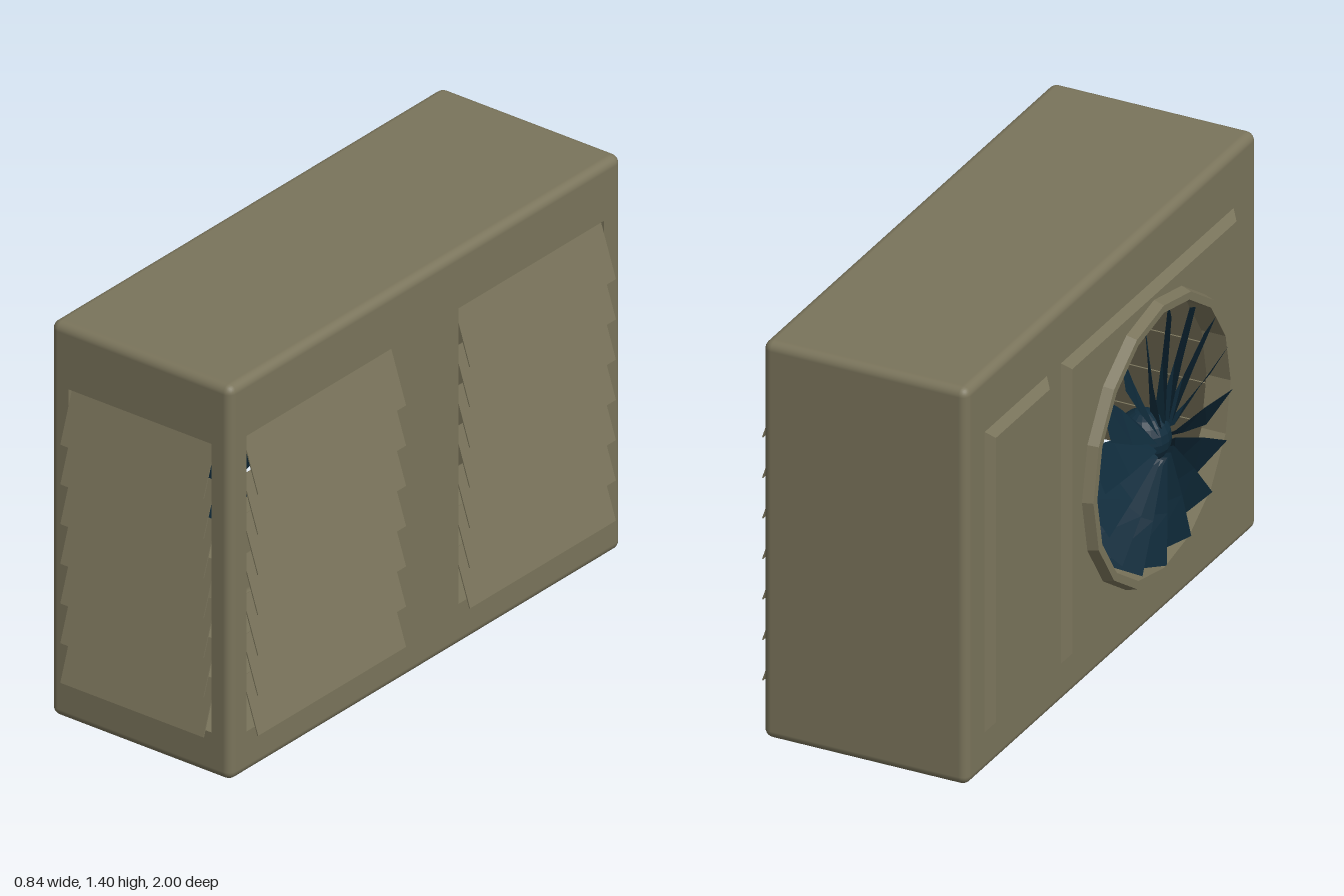
import * as THREE from 'three';
import { RoundedBoxGeometry } from 'three/addons/geometries/RoundedBoxGeometry.js';

const casingMat = new THREE.MeshStandardMaterial({ color: 0x7a745b, side: THREE.DoubleSide });
casingMat.name = 'olive casing';
const fanMat = new THREE.MeshStandardMaterial({ color: 0x102c3c, side: THREE.DoubleSide, flatShading: true });
fanMat.name = 'dark blue fan';

// Casing extents
const X0 = -0.345, X1 = 0.375, Y0 = 0, Y1 = 1.4, Z0 = -1, Z1 = 0.96, R = 0.03;
const FAN = { y: 0.67, z: 0.215, r: 0.45, sides: 16 };

function rect(path, u0, u1, v0, v1) {
  path.moveTo(u0, v0); path.lineTo(u1, v0); path.lineTo(u1, v1); path.lineTo(u0, v1); path.closePath();
  return path;
}
const rectHole = (...a) => rect(new THREE.Path(), ...a);
function roundHole() {
  const pts = [];
  for (let i = 0; i < FAN.sides; i++) {
    const a = (i / FAN.sides) * Math.PI * 2;
    pts.push(new THREE.Vector2(FAN.z + FAN.r * Math.cos(a), FAN.y + FAN.r * Math.sin(a)));
  }
  return new THREE.Path(pts);
}
function add(group, name, geometry, material = casingMat) {
  const mesh = new THREE.Mesh(geometry, material);
  mesh.name = name;
  group.add(mesh);
  return mesh;
}
function wall(u0, u1, v0, v1, holes) {
  const shape = rect(new THREE.Shape(), u0, u1, v0, v1);
  shape.holes.push(...holes);
  return new THREE.ShapeGeometry(shape);
}

// Rounded shell with three flat sides left out, to be filled by pierced walls
function shellGeometry() {
  const g = new RoundedBoxGeometry(X1 - X0, Y1 - Y0, Z1 - Z0, 3, R);
  g.translate((X0 + X1) / 2, (Y0 + Y1) / 2, (Z0 + Z1) / 2);
  const p = g.attributes.position, n = g.attributes.normal, pos = [], nor = [];
  const flat = (i, get, value) => [0, 1, 2].every(k => Math.abs(p[get](i + k) - value) < 1e-4);
  for (let i = 0; i < p.count; i += 3) {
    if (flat(i, 'getX', X0) || flat(i, 'getX', X1) || flat(i, 'getZ', Z1)) continue;
    for (let k = i; k < i + 3; k++) {
      pos.push(p.getX(k), p.getY(k), p.getZ(k));
      nor.push(n.getX(k), n.getY(k), n.getZ(k));
    }
  }
  const out = new THREE.BufferGeometry();
  out.setAttribute('position', new THREE.Float32BufferAttribute(pos, 3));
  out.setAttribute('normal', new THREE.Float32BufferAttribute(nor, 3));
  return out;
}

// Bank of seven slanted slats; local +z points out of the wall
function louvers(name, u0, u1, bottom, step, height, out) {
  const bank = new THREE.Group();
  bank.name = name;
  const run = 0.062;
  for (let i = 0; i < 7; i++) {
    const slat = add(bank, 'louverSlat', new THREE.BoxGeometry(u1 - u0, Math.hypot(height, run), 0.004));
    slat.position.set((u0 + u1) / 2, bottom + i * step + height / 2, out - run / 2);
    slat.rotation.x = -Math.atan2(run, height);
  }
  return bank;
}

// Raised plate with sloping edges on the fan side
function raisedPanel(group, name, z0, z1, y0, y1, holes) {
  const b = 0.028, x = -0.37;
  const face = add(group, name, wall(z0 + b, z1 - b, y0 + b, y1 - b, holes));
  face.rotation.y = -Math.PI / 2;
  face.position.x = x;
  const outer = [[z0, y0], [z1, y0], [z1, y1], [z0, y1]];
  const inner = [[z0 + b, y0 + b], [z1 - b, y0 + b], [z1 - b, y1 - b], [z0 + b, y1 - b]];
  const pos = [];
  for (let i = 0; i < 4; i++) {
    const j = (i + 1) % 4;
    const o = [outer[i], outer[j]].map(([z, y]) => [X0, y, z]);
    const n = [inner[i], inner[j]].map(([z, y]) => [x, y, z]);
    pos.push(...o[0], ...o[1], ...n[1], ...o[0], ...n[1], ...n[0]);
  }
  const edge = new THREE.BufferGeometry();
  edge.setAttribute('position', new THREE.Float32BufferAttribute(pos, 3));
  edge.computeVertexNormals();
  add(group, name + 'Edge', edge);
}

// Twisted wedge blade pointing up; local z faces outward
function bladeGeometry() {
  const sections = [[0.06, 0.02, 0.03], [0.25, 0.05, 0.035], [0.425, 0.068, 0.04]];
  const pos = [], index = [];
  sections.forEach(([r, half, depth]) => pos.push(-half, r, depth, half, r, -depth));
  for (let i = 0; i < sections.length - 1; i++) {
    const a = i * 2;
    index.push(a, a + 1, a + 3, a, a + 3, a + 2);
  }
  const g = new THREE.BufferGeometry();
  g.setAttribute('position', new THREE.Float32BufferAttribute(pos, 3));
  g.setIndex(index);
  g.computeVertexNormals();
  return g;
}

export function createModel() {
  const model = new THREE.Group();
  model.name = 'ventilationUnit';

  // Casing and its pierced walls
  add(model, 'casingShell', shellGeometry());
  const front = add(model, 'frontWall', wall(X0 + R, X1 - R, Y0 + R, Y1 - R, [rectHole(-0.27, 0.3, 0.155, 1.18)]));
  front.position.z = Z1;
  const left = add(model, 'louverWall', wall(-Z1 + R, -Z0 - R, Y0 + R, Y1 - R,
    [rectHole(-0.88, -0.14, 0.15, 1.2), rectHole(0.18, 0.91, 0.15, 1.2)]));
  left.rotation.y = Math.PI / 2;
  left.position.x = X1;
  const right = add(model, 'fanWall', wall(Z0 + R, Z1 - R, Y0 + R, Y1 - R, [roundHole()]));
  right.rotation.y = -Math.PI / 2;
  right.position.x = X0;

  // Louver banks
  model.add(louvers('frontLouvers', -0.27, 0.3, 0.155, 0.141, 0.18, 1.0));
  for (const [u0, u1] of [[-0.88, -0.14], [0.18, 0.91]]) {
    const bank = louvers('sideLouvers', u0, u1, 0.15, 0.143, 0.19, 0.42);
    bank.rotation.y = Math.PI / 2;
    model.add(bank);
  }

  // Raised panels on the fan side
  raisedPanel(model, 'accessPanel', -0.88, -0.46, 0.14, 1.2, []);
  raisedPanel(model, 'fanPanel', -0.365, 0.8, 0.14, 1.2, [roundHole()]);

  // Fan assembly, built facing +z then turned to face -x
  const fan = new THREE.Group();
  fan.name = 'fanAssembly';
  const profile = [[0.45, -0.03], [0.487, -0.03], [0.487, 0.02], [0.476, 0.055], [0.45, 0.055], [0.45, -0.03]]
    .map(([r, h]) => new THREE.Vector2(r, h));
  const ring = new THREE.LatheGeometry(profile, FAN.sides).toNonIndexed();
  ring.computeVertexNormals();
  add(fan, 'fanRing', ring).rotation.x = Math.PI / 2;
  const blade = bladeGeometry();
  for (let i = 0; i < 16; i++) {
    const m = add(fan, 'fanBlade', blade, fanMat);
    m.rotation.z = ((i + 0.5) / 16) * Math.PI * 2;
    m.position.z = 0.033;
  }
  const hub = add(fan, 'fanHub', new THREE.SphereGeometry(0.09, 16, 10), fanMat);
  hub.position.z = -0.017;
  fan.rotation.y = -Math.PI / 2;
  fan.position.set(-0.35, FAN.y, FAN.z);
  model.add(fan);

  return model;
}
